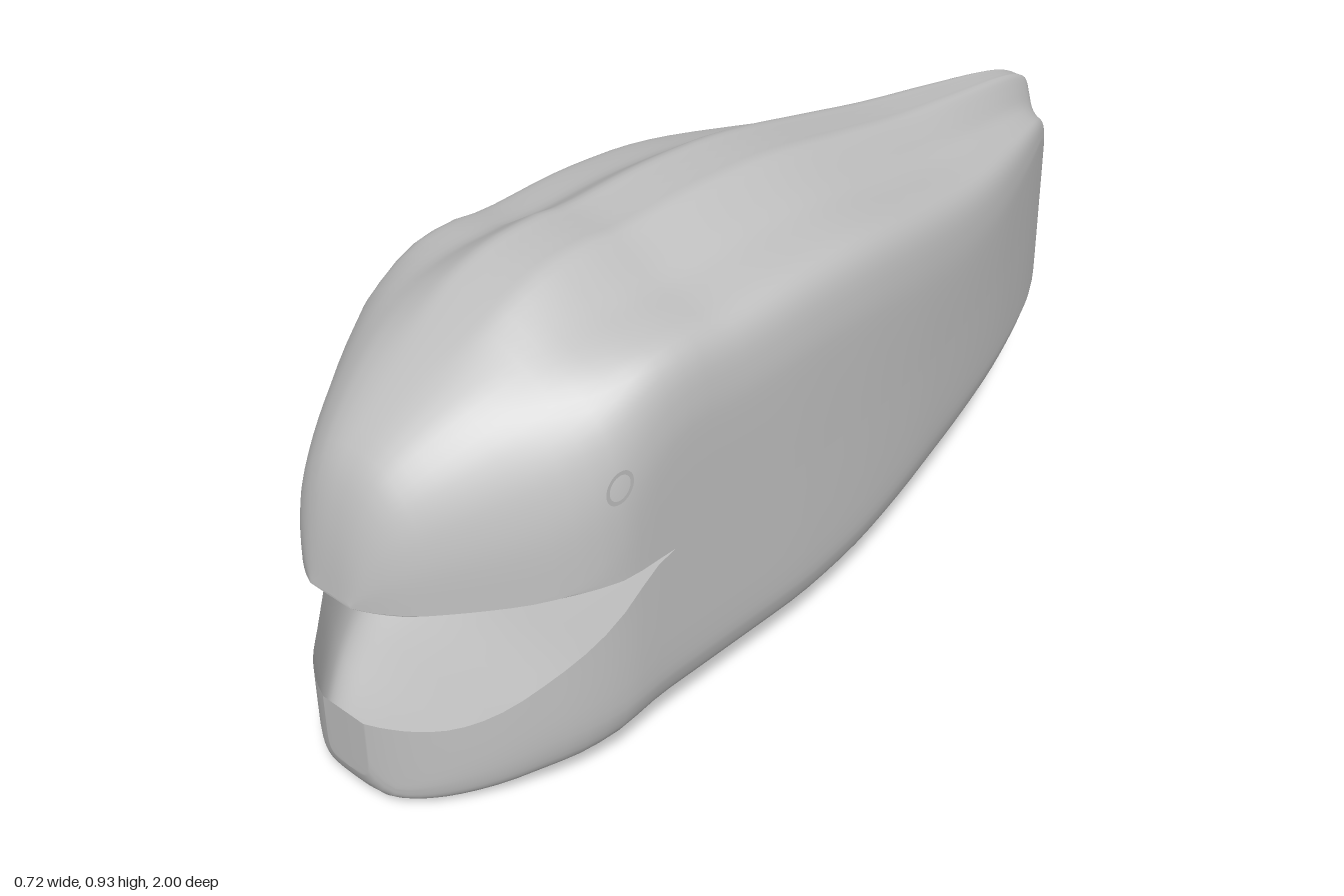
import * as THREE from 'three';

const MOUTH = 0.456, CENTRE = -0.01;

// Monotone cubic lookup through [z, value] pairs, z ascending
function profile(pts) {
  const n = pts.length, s = [], m = [];
  for (let i = 0; i < n - 1; i++) s.push((pts[i + 1][1] - pts[i][1]) / (pts[i + 1][0] - pts[i][0]));
  for (let i = 0; i < n; i++) {
    if (i === 0) m.push(s[0]);
    else if (i === n - 1) m.push(s[n - 2]);
    else m.push(s[i - 1] * s[i] <= 0 ? 0 : 2 * s[i - 1] * s[i] / (s[i - 1] + s[i]));
  }
  return z => {
    let i = 0;
    while (i < n - 2 && z > pts[i + 1][0]) i++;
    const h = pts[i + 1][0] - pts[i][0], t = THREE.MathUtils.clamp((z - pts[i][0]) / h, 0, 1);
    const t2 = t * t, t3 = t2 * t;
    return (2 * t3 - 3 * t2 + 1) * pts[i][1] + (t3 - 2 * t2 + t) * h * m[i]
      + (3 * t2 - 2 * t3) * pts[i + 1][1] + (t3 - t2) * h * m[i + 1];
  };
}

const halfWidth = profile([[-1, 0.045], [-0.985, 0.073], [-0.95, 0.093], [-0.8, 0.16], [-0.6, 0.232],
  [-0.4, 0.285], [-0.2, 0.323], [0, 0.344], [0.2, 0.352], [0.6, 0.352], [0.7, 0.33], [0.8, 0.275],
  [0.9, 0.195], [0.95, 0.145], [0.985, 0.09], [1, 0.055]]);
const topLine = profile([[-1, 0.68], [-0.99, 0.72], [-0.97, 0.745], [-0.9, 0.772], [-0.7, 0.805],
  [-0.5, 0.835], [-0.3, 0.875], [-0.1, 0.915], [0, 0.927], [0.15, 0.933], [0.34, 0.928], [0.4, 0.937],
  [0.5, 0.934], [0.6, 0.91], [0.7, 0.86], [0.85, 0.77], [0.93, 0.7], [0.96, 0.64], [0.985, 0.55], [1, 0.46]]);
const bottomLine = profile([[-1, 0.28], [-0.985, 0.235], [-0.93, 0.207], [-0.8, 0.185], [-0.5, 0.15],
  [-0.3, 0.12], [0, 0.07], [0.15, 0.06], [0.5, 0.06], [0.7, 0.03], [0.9, 0.003], [0.97, 0.012],
  [0.99, 0.03], [1, 0.06]]);
const lowerLip = profile([[-1, MOUTH], [0.5, MOUTH], [0.7, 0.332], [0.92, 0.198], [1, 0.195]]);

// Fillets shrink where the body is narrow
const filletScale = w => THREE.MathUtils.clamp(w / 0.3, 0.35, 1);

// Half section over the back: central ridge, shoulder, then the flat side
const BACK = [[0, 0], [0.1, 0], [0.21, 0.002], [0.34, 0.03], [0.5, 0.065], [0.7, 0.082],
  [0.85, 0.098], [0.94, 0.135], [0.985, 0.2], [1, 0.28]];
function upperHalf(z) {
  const head = THREE.MathUtils.smoothstep(z, 0.45, 0.8);
  const w = halfWidth(z) * (1 - 0.07 * THREE.MathUtils.smoothstep(z, 0.6, 0.85));
  const top = topLine(z), s = filletScale(w);
  const pts = BACK.map(([f, d]) => {
    const drop = d > 0.082 ? 0.082 + (d - 0.082) * s : d;
    const dome = MOUTH + (top - MOUTH) * Math.pow(1 - Math.pow(f, 2.4), 1 / 2.4);
    const y = THREE.MathUtils.lerp(top - drop, dome, head);
    return new THREE.Vector2(f * w, Math.max(y, MOUTH));
  });
  pts.push(new THREE.Vector2(w, MOUTH));
  return new THREE.SplineCurve(pts).getPoints(30);
}

// Half section under the belly: flat underside with rounded corners
const BELLY = [[0, 0], [0.25, 0.001], [0.5, 0.005], [0.75, 0.018], [0.91, 0.047], [0.975, 0.09], [1, 0.16]];
function lowerHalf(z) {
  const w = halfWidth(z), bottom = bottomLine(z), lip = lowerLip(z), s = filletScale(w);
  const pts = BELLY.map(([f, d]) => new THREE.Vector2(f * w, Math.min(bottom + d * s, lip)));
  pts.push(new THREE.Vector2(w, lip));
  return new THREE.SplineCurve(pts).getPoints(24);
}

// Loft mirrored half sections from tail to snout, closing both ends
function loft(half, side) {
  const steps = 60, pos = [], index = [];
  let cols = 0;
  const addRing = (z, squash) => {
    const h = half(z);
    const ring = [...h.slice(1).reverse().map(p => [-p.x, p.y]), ...h.map(p => [p.x, p.y])];
    if (side < 0) ring.reverse();
    cols = ring.length;
    ring.forEach(([x, y]) => pos.push(CENTRE + x * squash, y, z));
  };
  addRing(-1, 0);
  for (let i = 0; i <= steps; i++) addRing(-Math.cos(Math.PI * i / steps), 1);
  addRing(1, 0);
  for (let i = 0; i < steps + 2; i++) {
    for (let j = 0; j < cols - 1; j++) {
      const a = i * cols + j, b = a + 1, c = a + cols, d = c + 1;
      index.push(a, c, b, b, c, d);
    }
  }
  const geo = new THREE.BufferGeometry();
  geo.setAttribute('position', new THREE.Float32BufferAttribute(pos, 3));
  geo.setIndex(index);
  geo.computeVertexNormals();
  return geo;
}

export function createModel() {
  const group = new THREE.Group();
  const grey = new THREE.MeshStandardMaterial({ color: 0xbfbfbf, side: THREE.DoubleSide });
  grey.name = 'plain grey';
  const add = (name, geo) => {
    const mesh = new THREE.Mesh(geo, grey);
    mesh.name = name;
    group.add(mesh);
    return mesh;
  };

  // Hollow body shells, joined behind the mouth corner
  add('upperBodyAndHead', loft(upperHalf, 1));
  add('lowerBodyAndJaw', loft(lowerHalf, -1));

  // Flat eye ring standing just off the left cheek
  const eye = add('eyeRing', new THREE.RingGeometry(0.025, 0.033, 32));
  eye.rotation.y = Math.PI / 2;
  eye.position.set(0.362, 0.68, 0.655);
  return group;
}
